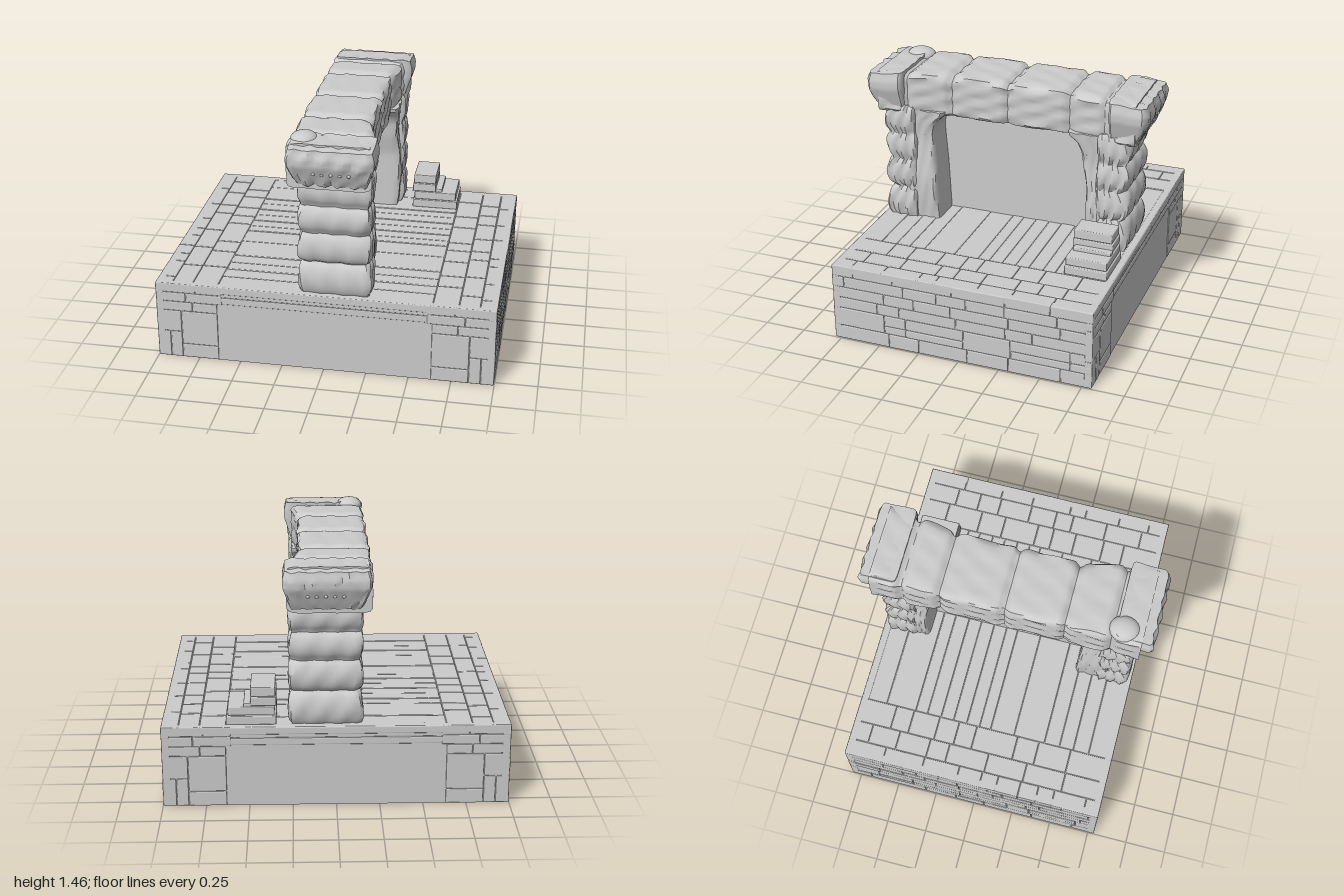
import * as THREE from 'three';
import { mergeGeometries, mergeVertices, toCreasedNormals } from 'three/addons/utils/BufferGeometryUtils.js';
import { RoundedBoxGeometry } from 'three/addons/geometries/RoundedBoxGeometry.js';

const grey = new THREE.MeshStandardMaterial({ color: 0xcccccc });
const lerp = THREE.MathUtils.lerp;
let seed = 7;
const rand = () => (seed = (seed * 16807) % 2147483647) / 2147483647;

// linear lookup in a short [position, value] profile
function along(profile, t) {
  for (let i = 1; i < profile.length; i++) {
    const [a, va] = profile[i - 1], [b, vb] = profile[i];
    if (t <= b) return lerp(va, vb, THREE.MathUtils.clamp((t - a) / (b - a), 0, 1));
  }
  return profile[profile.length - 1][1];
}

// gentle carved unevenness
const wobble = (a, b) => 0.006 * Math.sin(a * 23 + b * 9) + 0.004 * Math.sin(b * 41 - a * 13);

// a subdivided block whose corners (u, v, w in -1..1) are moved by a rule
function mould(name, segs, rule) {
  let g = new THREE.BoxGeometry(2, 2, 2, ...segs);
  g.deleteAttribute('normal');
  g.deleteAttribute('uv');
  g = mergeVertices(g);
  const p = g.attributes.position;
  for (let i = 0; i < p.count; i++) p.setXYZ(i, ...rule(p.getX(i), p.getY(i), p.getZ(i)));
  const mesh = new THREE.Mesh(toCreasedNormals(g, 0.7), grey);
  mesh.name = name;
  return mesh;
}

// round off the corners of a square section
function rounded(u, v, r) {
  const c = 1 - r, du = Math.abs(u) - c, dv = Math.abs(v) - c;
  if (du <= 0 || dv <= 0) return [u, v];
  const k = Math.max(du, dv) / Math.hypot(du, dv);
  return [Math.sign(u) * (c + du * k), Math.sign(v) * (c + dv * k)];
}

// one dressed stone, with a narrow joint around it
function stone(x0, x1, y0, y1, z0, z1) {
  const gap = 0.003;
  const g = new RoundedBoxGeometry(x1 - x0 - gap, y1 - y0 - gap, z1 - z0 - gap, 1, 0.006);
  return g.translate((x0 + x1) / 2, (y0 + y1) / 2, (z0 + z1) / 2);
}

function masonry(name, stones) {
  const mesh = new THREE.Mesh(mergeGeometries(stones), grey);
  mesh.name = name;
  return mesh;
}

// uneven cuts from a to b
function cuts(a, b, min, max) {
  const list = [a];
  while (b - list[list.length - 1] > max) list.push(list[list.length - 1] + lerp(min, max, rand()));
  return [...list, b];
}

const TOP = 0.49, BACK = -0.81, FRONT = 0.79;

function createBase() {
  const base = new THREE.Group();
  base.name = 'base';
  const core = new THREE.Mesh(new THREE.BoxGeometry(1.985, TOP - 0.008, 1.585), grey);
  core.position.set(0, (TOP - 0.008) / 2, -0.01);
  core.name = 'baseCore';
  base.add(core);

  for (const s of [-1, 1]) {
    // coursed stone side walls
    const side = [], paving = [], facing = [];
    const X = (a, b) => (s > 0 ? [a, b] : [-b, -a]);
    const rows = [0, 0.09, 0.21, 0.28, 0.35, 0.42, TOP];
    for (let r = 1; r < rows.length; r++) {
      const z = cuts(BACK, FRONT, 0.13, 0.38);
      for (let i = 1; i < z.length; i++) {
        const split = rows[r] - rows[r - 1] > 0.1 && rand() > 0.5;
        const levels = split ? [rows[r - 1], rows[r - 1] + 0.05, rows[r]] : [rows[r - 1], rows[r]];
        for (let k = 1; k < levels.length; k++)
          side.push(stone(...X(0.95, 1.002 - 0.004 * rand()), levels[k - 1], levels[k], z[i - 1], z[i]));
      }
    }
    base.add(masonry('sideWall', side));

    // paving along each side of the deck
    const strips = [0.63, 0.78, 0.9, 1];
    for (let c = 1; c < strips.length; c++) {
      const z = cuts(BACK, FRONT, 0.1, 0.26);
      for (let i = 1; i < z.length; i++)
        paving.push(stone(...X(strips[c - 1], strips[c]), 0.44, TOP + 0.001, z[i - 1], z[i]));
    }
    base.add(masonry('edgePaving', paving));

    // corner stones and recessed planks on the front (+1) and back (-1)
    const Z = d => (s > 0 ? [FRONT - 0.05, FRONT - d] : [BACK + d, BACK + 0.05]);
    const quoins = [[0.63, 0.85, 0, 0.09], [0.63, 0.85, 0.09, 0.31], [0.85, 0.92, 0, 0.17],
      [0.92, 1, 0, 0.17], [0.85, 1, 0.17, 0.31], [0.63, 0.78, 0.31, 0.37], [0.78, 1, 0.31, 0.37],
      [0.6, 0.82, 0.37, 0.43], [0.82, 1, 0.37, 0.43], [0.6, 0.76, 0.43, TOP], [0.76, 1, 0.43, TOP]];
    for (const [a, b, y0, y1] of quoins) {
      facing.push(stone(a, b, y0, y1, ...Z(0)), stone(-b, -a, y0, y1, ...Z(0)));
    }
    const planks = [0, 0.09, 0.21, 0.235, 0.29, 0.35, 0.375, 0.42, TOP];
    for (let i = 1; i < planks.length; i++)
      facing.push(stone(-0.63, 0.63, planks[i - 1], planks[i], ...Z(i > 6 ? 0.002 : 0.006 + 0.004 * (i % 2))));
    base.add(masonry(s > 0 ? 'frontWall' : 'backWall', facing));
  }

  // long floor slabs between the paved edges
  const floor = [], z = cuts(BACK, FRONT, 0.07, 0.2);
  for (let i = 1; i < z.length; i++) floor.push(stone(-0.63, 0.63, 0.44, TOP - 0.002 * (i % 2), z[i - 1], z[i]));
  base.add(masonry('floorSlabs', floor));
  return base;
}

function createPillar(s) {
  const pillar = new THREE.Group();
  pillar.name = s > 0 ? 'frontPillar' : 'backPillar';
  const joints = [0.47, 0.68, 0.87, 1.04, 1.22];

  // outer column of four bulging stones
  pillar.add(mould('stackedStones', [10, 48, 10], (u, v, w) => {
    const y = lerp(0.48, 1.22, (v + 1) / 2);
    const i = Math.max(1, joints.findIndex(j => j >= y));
    const t = (y - joints[i - 1]) / (joints[i] - joints[i - 1]);
    const bulge = Math.sqrt(Math.max(0, Math.sin(Math.PI * t)));
    const [a, b] = rounded(u, w, 0.2);
    const x = 0.06 + a * (0.185 + 0.025 * bulge) + wobble(y, w);
    const outer = 0.73 + 0.045 * bulge;
    return [x, y, -0.005 + s * (lerp(0.57, outer, (b * s + 1) / 2) + wobble(y, u) * 0.7)];
  }));

  // smooth inner jamb, curving into the lintel
  const inner = s > 0
    ? [[0.48, 0.43], [0.8, 0.445], [1.05, 0.465], [1.1, 0.455], [1.14, 0.43], [1.18, 0.38]]
    : [[0.48, 0.51], [0.85, 0.51], [0.98, 0.485], [1.08, 0.475], [1.14, 0.445], [1.18, 0.39]];
  pillar.add(mould('innerJamb', [10, 32, 10], (u, v, w) => {
    const y = lerp(0.48, 1.2, (v + 1) / 2);
    const [a, b] = rounded(u, w, 0.2);
    const x = 0.055 + a * (0.19 + 0.01 * Math.sin(y * 11)) + wobble(y, w) * 0.6;
    return [x, y, s * lerp(along(inner, y), 0.64, (b * s + 1) / 2)];
  }));
  return pillar;
}

function createLintel() {
  const lintel = new THREE.Group();
  lintel.name = 'lintel';

  // beam of blocks separated by pinched joints
  const joints = [-0.62, -0.39, -0.01, 0.35, 0.62];
  const right = [[-0.82, 0.28], [-0.6, 0.25], [-0.4, 0.215], [0.35, 0.215], [0.55, 0.25], [0.8, 0.28]];
  lintel.add(mould('beam', [10, 10, 100], (u, v, w) => {
    const z = w * 0.8 - 0.005;
    const d = Math.min(...joints.map(j => Math.abs(z - j)));
    const pinch = 0.022 * Math.exp(-((d / 0.022) ** 2));
    const [a, b] = rounded(u, v, 0.2);
    const x = lerp(-0.2 + pinch, along(right, z) - pinch, (a + 1) / 2) + wobble(z, v) * 0.7;
    const y = lerp(1.165, 1.43 - pinch, (b + 1) / 2) + wobble(z, u) * 0.5;
    return [x, y, z];
  }));

  // flared capital at each end
  const flare = [[1.19, 0], [1.23, 0.3], [1.33, 0.95], [1.38, 1], [1.43, 0.75]];
  for (const s of [-1, 1]) {
    lintel.add(mould(s > 0 ? 'frontCapital' : 'backCapital', [12, 16, 12], (u, v, w) => {
      const y = lerp(1.19, 1.435, (v + 1) / 2), f = along(flare, y);
      const [a, b] = rounded(u, w, 0.17);
      const t = (b * s + 1) / 2;
      const x = lerp(-0.14 - 0.055 * f, 0.25 + 0.05 * f, (a + 1) / 2);
      const z = -0.005 + s * (lerp(0.64, 0.81 + 0.06 * f, t) + wobble(u, y) * t);
      return [x, y + wobble(u, z) * 0.7 - 0.02 * t * (v + 1) / 2, z];
    }));
    // row of small carved studs
    for (let i = 0; i < 5; i++) {
      const stud = new THREE.Mesh(new THREE.SphereGeometry(0.011, 8, 6), grey);
      stud.position.set(-0.04 + i * 0.05, 1.275, -0.005 + s * 0.846);
      stud.name = 'stud';
      lintel.add(stud);
    }
  }

  // worn lump on the front capital
  const lump = new THREE.Mesh(new THREE.SphereGeometry(1, 20, 12), grey);
  lump.scale.set(0.08, 0.05, 0.09);
  lump.position.set(-0.12, 1.41, 0.68);
  lump.name = 'wornLump';
  lintel.add(lump);
  return lintel;
}

function createSteps() {
  const steps = [
    stone(0.34, 0.63, 0.485, 0.54, -0.77, -0.51), stone(0.35, 0.62, 0.54, 0.595, -0.765, -0.515),
    stone(0.34, 0.49, 0.595, 0.65, -0.76, -0.515), stone(0.345, 0.49, 0.65, 0.71, -0.755, -0.52),
    stone(0.48, 0.53, 0.58, 0.615, -0.76, -0.53),
  ];
  return masonry('smallSteps', steps);
}

export function createModel() {
  const model = new THREE.Group();
  model.name = 'stoneGateway';
  model.add(createBase(), createPillar(1), createPillar(-1), createLintel(), createSteps());

  // flat sheet filling the opening
  const sheet = new THREE.MeshStandardMaterial({ color: 0xcccccc, side: THREE.DoubleSide });
  const panel = new THREE.Mesh(new THREE.PlaneGeometry(1.06, 0.71), sheet);
  panel.rotation.y = Math.PI / 2;
  panel.position.set(0.04, 0.84, -0.03);
  panel.name = 'doorwayPanel';
  model.add(panel);
  return model;
}
